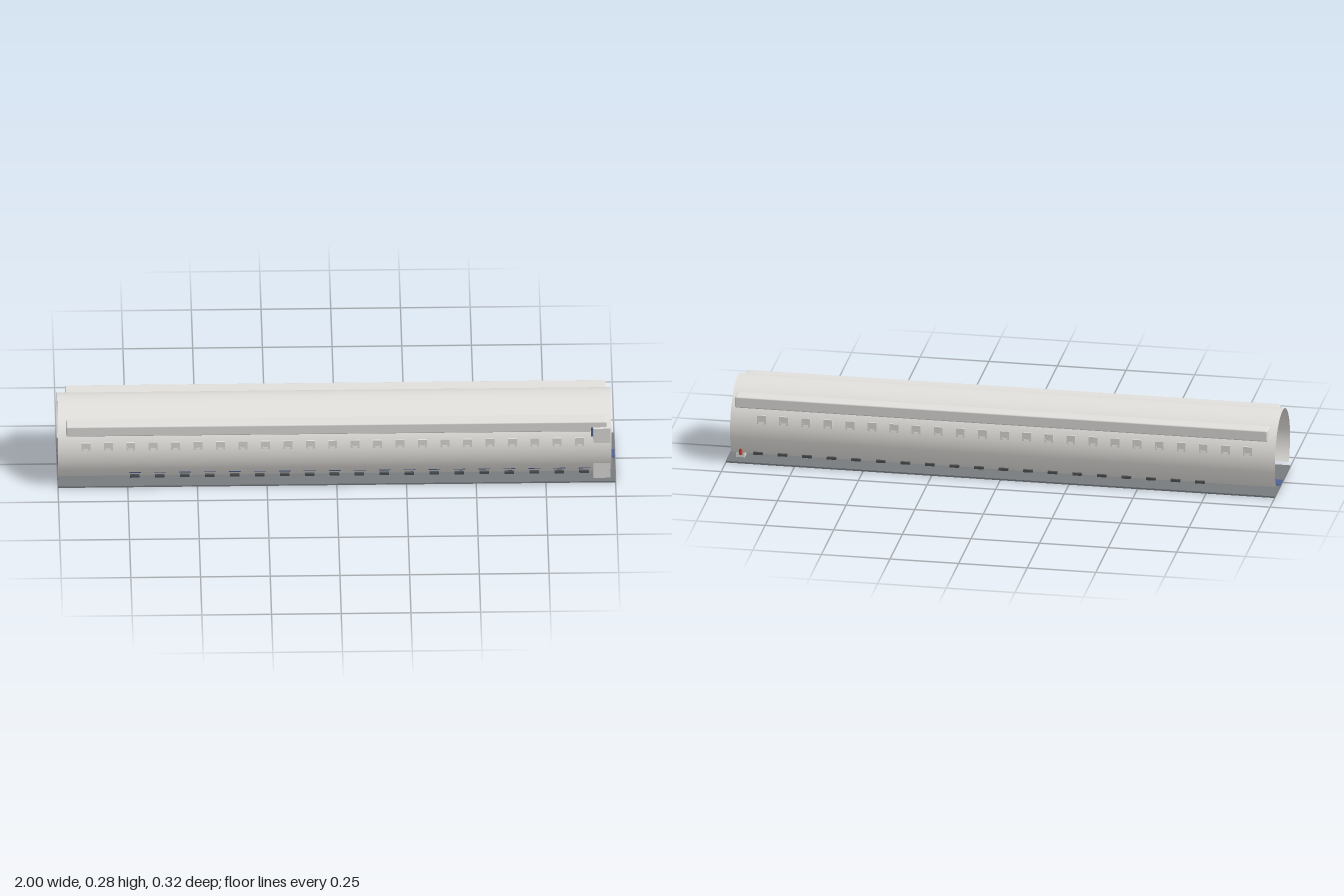
import * as THREE from 'three';
import { RoundedBoxGeometry } from 'three/addons/geometries/RoundedBoxGeometry.js';

const mat = (name, color, side = THREE.FrontSide) => {
  const m = new THREE.MeshStandardMaterial({ color, side });
  m.name = name;
  return m;
};

export function createModel() {
  const white = mat('shell white', 0xe2e0dc, THREE.DoubleSide);
  const trim = mat('trim white', 0xe0dfdc);
  const blue = mat('seat blue', 0x4f6193);
  const grey = mat('floor grey', 0x777b7e);
  const dark = mat('dark metal', 0x4c4f52);
  const red = mat('extinguisher red', 0xd04030);

  const model = new THREE.Group();
  model.name = 'cabinSection';

  const add = (parent, name, geometry, material, x = 0, y = 0, z = 0) => {
    const mesh = new THREE.Mesh(geometry, material);
    mesh.name = name;
    mesh.position.set(x, y, z);
    parent.add(mesh);
    return mesh;
  };
  // Box given by its limits on each axis
  const span = (parent, name, material, [x0, x1], [y0, y1], [z0, z1], radius = 0) => {
    const size = [x1 - x0, y1 - y0, z1 - z0];
    const geometry = radius
      ? new RoundedBoxGeometry(...size, 2, radius)
      : new THREE.BoxGeometry(...size);
    return add(parent, name, geometry, material, (x0 + x1) / 2, (y0 + y1) / 2, (z0 + z1) / 2);
  };

  // Floor and aisle carpet
  span(model, 'floor', grey, [-1, 1], [0, 0.006], [-0.158, 0.158]);
  span(model, 'aisleCarpet', blue, [-1, 1], [0.006, 0.009], [-0.048, 0.005]);

  // Curved wall, open at both ends and along the floor
  const low = Math.asin(0.09 / 0.155);
  const shell = new THREE.CylinderGeometry(0.155, 0.155, 1.985, 64, 1, true, -low, Math.PI + 2 * low);
  shell.rotateZ(Math.PI / 2);
  add(model, 'cabinWall', shell, white, -0.0075, 0.12, 0);

  // Ceiling panel and aisle sign
  span(model, 'ceilingPanel', trim, [-0.97, 0.97], [0.265, 0.267], [-0.021, 0.021]);
  span(model, 'aisleSign', trim, [0.9, 0.908], [0.236, 0.245], [-0.036, -0.005]);

  // Overhead bins, service panels and windows on both sides
  const frameShape = new THREE.Shape();
  frameShape.moveTo(-0.016, -0.02).lineTo(0.016, -0.02).lineTo(0.016, 0.02).lineTo(-0.016, 0.02);
  const opening = new THREE.Path();
  opening.absellipse(0, 0, 0.011, 0.015, 0, Math.PI * 2, true);
  frameShape.holes.push(opening);
  const frame = new THREE.ExtrudeGeometry(frameShape, { depth: 0.005, bevelEnabled: false, curveSegments: 8 });
  frame.translate(0, 0, -0.0025);
  const pane = new THREE.BoxGeometry(0.024, 0.032, 0.002);

  for (const s of [1, -1]) {
    const sided = (a, b) => (s > 0 ? [a, b] : [-b, -a]);
    span(model, 'overheadBin', trim, [-0.97, 0.97], [0.205, 0.247], sided(0.083, 0.139), 0.005);
    span(model, 'servicePanel', trim, [-0.75, 0.9], [0.199, 0.201], sided(0.1, 0.13));
    for (let i = 0; i < 23; i++) {
      const x = -0.9 + i * 0.0805;
      add(model, 'windowFrame', frame, trim, x, 0.166, s * 0.1488);
      add(model, 'windowShade', pane, trim, x, 0.166, s * 0.1485);
    }
  }

  // Seat parts, facing +x
  const cushion = new RoundedBoxGeometry(0.046, 0.012, 0.046, 1, 0.003);
  const back = new RoundedBoxGeometry(0.011, 0.072, 0.045, 1, 0.003);
  const headrest = new RoundedBoxGeometry(0.013, 0.019, 0.045, 1, 0.003);
  const arm = new THREE.BoxGeometry(0.032, 0.003, 0.004);

  const seatRow = (x, centres) => {
    const row = new THREE.Group();
    row.name = 'seatRow';
    row.position.x = x;
    model.add(row);
    const first = centres[0], last = centres[centres.length - 1];
    span(row, 'seatBeam', dark, [-0.016, 0.018], [0.03, 0.039], [first - 0.025, last + 0.025]);
    span(row, 'seatSupport', dark, [-0.012, 0.012], [0.039, 0.049], [first - 0.016, last + 0.016]);
    centres.forEach((z) => {
      add(row, 'seatCushion', cushion, blue, 0.002, 0.054, z);
      add(row, 'seatBack', back, blue, -0.022, 0.088, z).rotation.z = 0.1;
      add(row, 'headrest', headrest, trim, -0.026, 0.125, z).rotation.z = 0.1;
    });
    for (let i = 0; i <= centres.length; i++) {
      const z = i < centres.length ? centres[i] - 0.0255 : last + 0.0255;
      add(row, 'armrest', arm, dark, 0, 0.065, z);
    }
  };
  for (let i = 0; i < 19; i++) {
    const x = -0.725 + i * 0.0895;
    seatRow(x, [0.0135, 0.065, 0.1165]);
    seatRow(x, [-0.1155, -0.0615]);
  }

  // Galley cabinet with shelf lines
  span(model, 'galley', trim, [0.92, 0.982], [0.014, 0.224], [0.054, 0.149]);
  for (const y of [0.041, 0.068, 0.106, 0.131]) {
    span(model, 'galleySeam', dark, [0.981, 0.983], [y - 0.001, y + 0.001], [0.06, 0.143]);
  }

  // Partitions in front of the first row
  span(model, 'leftPartition', blue, [0.912, 0.919], [0.055, 0.224], [0.048, 0.14]);
  span(model, 'rightPartition', blue, [0.93, 0.937], [0.055, 0.224], [-0.1, -0.048]);

  // Attendant seat
  span(model, 'attendantSeat', trim, [0.938, 0.97], [0.009, 0.1], [-0.119, -0.083]);

  // Fire extinguisher
  add(model, 'extinguisherBody', new THREE.CylinderGeometry(0.0055, 0.0055, 0.042, 16), red, 0.95, 0.045, -0.1325);
  add(model, 'extinguisherValve', new THREE.CylinderGeometry(0.002, 0.003, 0.006, 10), dark, 0.95, 0.068, -0.1325);

  return model;
}
